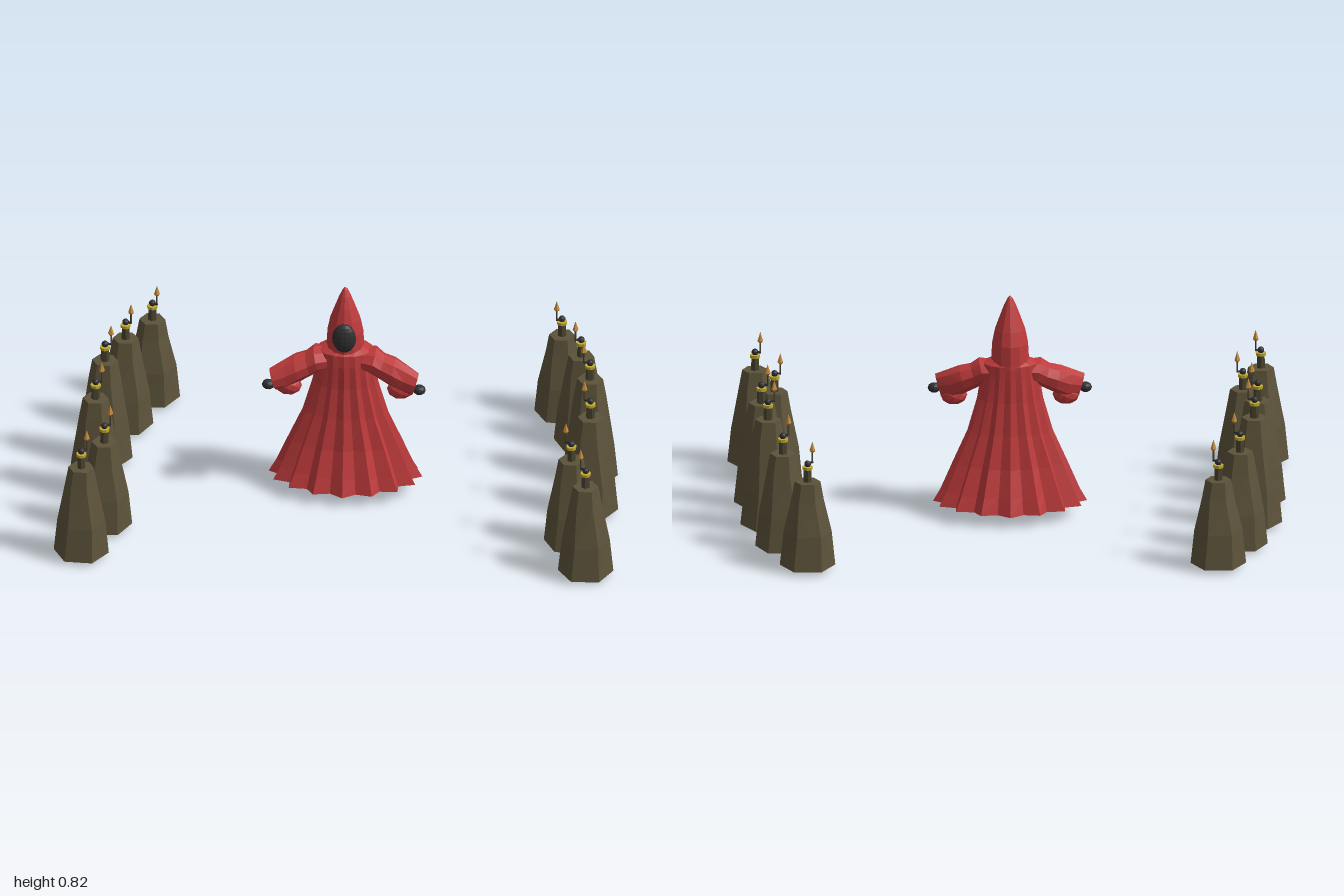
import * as THREE from 'three';

const material = (name, color, side = THREE.FrontSide) => {
  const m = new THREE.MeshStandardMaterial({ color, flatShading: true, side });
  m.name = name;
  return m;
};
const red = material('red cloth', 0xbe3a3b, THREE.DoubleSide);
const stone = material('brown stone', 0x5c533a);
const dark = material('dark metal', 0x303033);
const iron = material('iron grey', 0x4c4b48);
const grey = material('light grey metal', 0x7f7b70);
const bronze = material('bronze', 0x48432f);
const yellow = material('yellow trim', 0xc4ac2c);
const orange = material('orange tip', 0xc48a3c);

function add(parent, name, geometry, mat, x = 0, y = 0, z = 0) {
  const mesh = new THREE.Mesh(geometry, mat);
  mesh.name = name;
  mesh.position.set(x, y, z);
  parent.add(mesh);
  return mesh;
}

// Skin a stack of rings; point(row, angle, i) returns [x, y, z]
function loft(rows, sides, point, capStart = true) {
  const pos = [], index = [];
  rows.forEach((row) => {
    for (let i = 0; i < sides; i++) pos.push(...point(row, (i / sides) * Math.PI * 2, i));
  });
  for (let j = 0; j < rows.length - 1; j++) {
    for (let i = 0; i < sides; i++) {
      const k = (i + 1) % sides;
      const a = j * sides + i, b = j * sides + k, c = b + sides, d = a + sides;
      index.push(a, b, c, a, c, d);
    }
  }
  const cap = (start, flip) => {
    const mid = [0, 0, 0];
    for (let i = 0; i < sides; i++) for (let k = 0; k < 3; k++) mid[k] += pos[(start + i) * 3 + k] / sides;
    const m = pos.length / 3;
    pos.push(...mid);
    for (let i = 0; i < sides; i++) {
      const a = start + i, b = start + ((i + 1) % sides);
      index.push(m, flip ? b : a, flip ? a : b);
    }
  };
  if (capStart) cap(0, true);
  cap((rows.length - 1) * sides, false);
  const g = new THREE.BufferGeometry();
  g.setAttribute('position', new THREE.Float32BufferAttribute(pos, 3));
  g.setIndex(index);
  const flat = g.toNonIndexed();
  flat.computeVertexNormals();
  return flat;
}

// Tapered six-sided pillar with a small torch bearer facing the middle
function makePillar(x, z, top, turn) {
  const group = new THREE.Group();
  group.name = 'pillar';
  group.position.set(x, 0, z);
  const rows = [[0.013, 0.099, 0], [0.14, 0.086, 0.06], [top - 0.07, 0.058, -0.05], [top - 0.003, 0.046, 0]];
  add(group, 'pillarStone', loft(rows, 6, ([y, r, twist], a) => {
    const t = a + Math.PI / 2 + twist + turn;
    return [r * Math.sin(t), y, r * Math.cos(t)];
  }), stone);

  const bearer = new THREE.Group();
  bearer.name = 'torchBearer';
  bearer.position.y = top - 0.003;
  bearer.rotation.y = Math.atan2(-x, -z);
  group.add(bearer);
  add(bearer, 'body', new THREE.CylinderGeometry(0.015, 0.016, 0.055, 6), bronze, 0, 0.0275, 0);
  add(bearer, 'collar', new THREE.CylinderGeometry(0.019, 0.018, 0.011, 8), yellow, 0, 0.051, 0);
  add(bearer, 'head', new THREE.IcosahedronGeometry(0.0125, 1), dark, 0, 0.066, 0);
  add(bearer, 'arm', new THREE.BoxGeometry(0.006, 0.006, 0.02), dark, 0, 0.068, 0.014);
  add(bearer, 'torchPole', new THREE.CylinderGeometry(0.003, 0.003, 0.045, 5), bronze, 0, 0.089, 0.022);
  add(bearer, 'torchCup', new THREE.CylinderGeometry(0.011, 0.004, 0.008, 6), orange, 0, 0.108, 0.022);
  add(bearer, 'torchTip', new THREE.ConeGeometry(0.011, 0.034, 6), orange, 0, 0.129, 0.022);
  return group;
}

function makeFigure() {
  const figure = new THREE.Group();
  figure.name = 'robedFigure';

  // Robe: height, half width, half depth, pleat depth, centre z
  const robe = [
    [0.04, 0.275, 0.158, 0.15, 0.007], [0.1, 0.248, 0.138, 0.13, 0.007], [0.2, 0.205, 0.108, 0.12, 0.008],
    [0.32, 0.152, 0.087, 0.1, 0.01], [0.44, 0.118, 0.076, 0.08, 0.012], [0.53, 0.103, 0.075, 0.05, 0.014],
    [0.575, 0.1, 0.072, 0.03, 0.013], [0.592, 0.06, 0.05, 0, 0.01],
  ];
  add(figure, 'robe', loft(robe, 32, ([y, w, d, p, z], a, i) => {
    const s = i % 2 ? 1 - p : 1;
    const lift = y < 0.05 ? 0.012 * Math.abs(Math.sin(a)) : 0;
    return [w * s * Math.sin(a), y + lift, z + d * s * Math.cos(a)];
  }, false), red);

  // Pointed hood: height, half width, half depth, centre z
  const hood = [
    [0.565, 0.07, 0.07, 0.008], [0.58, 0.068, 0.069, 0.009], [0.65, 0.064, 0.067, 0.011],
    [0.7, 0.054, 0.054, 0.013], [0.75, 0.036, 0.037, 0.015], [0.79, 0.021, 0.021, 0.015],
    [0.815, 0.009, 0.009, 0.014], [0.823, 0.002, 0.002, 0.014],
  ];
  add(figure, 'hood', loft(hood, 12, ([y, w, d, z], a) =>
    [w * Math.sin(a), y, z + d * Math.cos(a)]), red);
  add(figure, 'faceMask', new THREE.SphereGeometry(1, 14, 10), dark, 0, 0.645, 0.071)
    .scale.set(0.043, 0.057, 0.026);

  // Sleeves: x, y, z, half height, half depth
  const sleeve = [
    [0.06, 0.54, 0.02, 0.04, 0.055], [0.1, 0.538, 0.028, 0.046, 0.06],
    [0.13, 0.518, 0.034, 0.044, 0.052], [0.17, 0.502, 0.042, 0.05, 0.054],
    [0.21, 0.48, 0.053, 0.053, 0.045], [0.255, 0.468, 0.07, 0.042, 0.034],
  ];
  for (const side of [1, -1]) {
    const arm = new THREE.Group();
    arm.name = side > 0 ? 'leftArm' : 'rightArm';
    arm.scale.x = side;
    figure.add(arm);
    add(arm, 'sleeve', loft(sleeve, 9, ([x, y, z, h, d], a) =>
      [x + 0.012 * Math.cos(a), y + h * Math.cos(a), z + d * Math.sin(a)]), red);
    add(arm, 'hangingCuff', new THREE.IcosahedronGeometry(1, 1), red, 0.2, 0.437, 0.055)
      .scale.set(0.048, 0.037, 0.036);
    add(arm, 'wrist', new THREE.BoxGeometry(0.035, 0.018, 0.018), dark, 0.255, 0.455, 0.08);
    add(arm, 'hand', new THREE.IcosahedronGeometry(1, 1), dark, 0.27, 0.453, 0.085)
      .scale.set(0.023, 0.019, 0.021);
  }

  // Round hover base under the hem
  const profile = [[0, 0.002], [0.035, 0], [0.05, 0.008], [0.07, 0.018], [0.09, 0.028],
    [0.094, 0.038], [0.08, 0.05], [0, 0.055]].map(([r, y]) => new THREE.Vector2(r, y));
  add(figure, 'hoverBase', new THREE.LatheGeometry(profile, 16), iron, 0, 0, 0.01);
  for (const [name, radius, tube, y, mat] of [
    ['baseRim', 0.09, 0.007, 0.037, grey], ['baseRing', 0.066, 0.005, 0.017, dark],
    ['lampRing', 0.034, 0.005, 0.006, grey],
  ]) {
    add(figure, name, new THREE.TorusGeometry(radius, tube, 5, 16), mat, 0, y, 0.01).rotation.x = Math.PI / 2;
  }
  add(figure, 'baseLamp', new THREE.CylinderGeometry(0.02, 0.02, 0.004, 12), yellow, 0, 0.002, 0.01);
  // Small studs around the rim
  for (let i = 0; i < 8; i++) {
    const a = ((i + 0.5) / 8) * Math.PI * 2;
    add(figure, 'rimStud', new THREE.BoxGeometry(0.012, 0.01, 0.012), yellow,
      0.092 * Math.sin(a), 0.032, 0.01 + 0.092 * Math.cos(a)).rotation.y = a;
  }
  return figure;
}

export function createModel() {
  const model = new THREE.Group();
  model.name = 'robedFigureWithPillars';
  model.add(makeFigure());

  // Two curved rows of pillars: left x, right x, z, top height
  const rows = [
    [-0.735, 0.73, -0.563, 0.33], [-0.815, 0.815, -0.36, 0.365], [-0.87, 0.865, -0.12, 0.41],
    [-0.885, 0.885, 0.118, 0.39], [-0.835, 0.835, 0.358, 0.35], [-0.902, 0.902, 0.562, 0.36],
  ];
  rows.forEach(([l, r, z, top], i) => {
    const turn = 0.06 * Math.sin(i * 2.1);
    model.add(makePillar(l, z, top, turn), makePillar(r, z, top, -turn));
  });
  return model;
}
